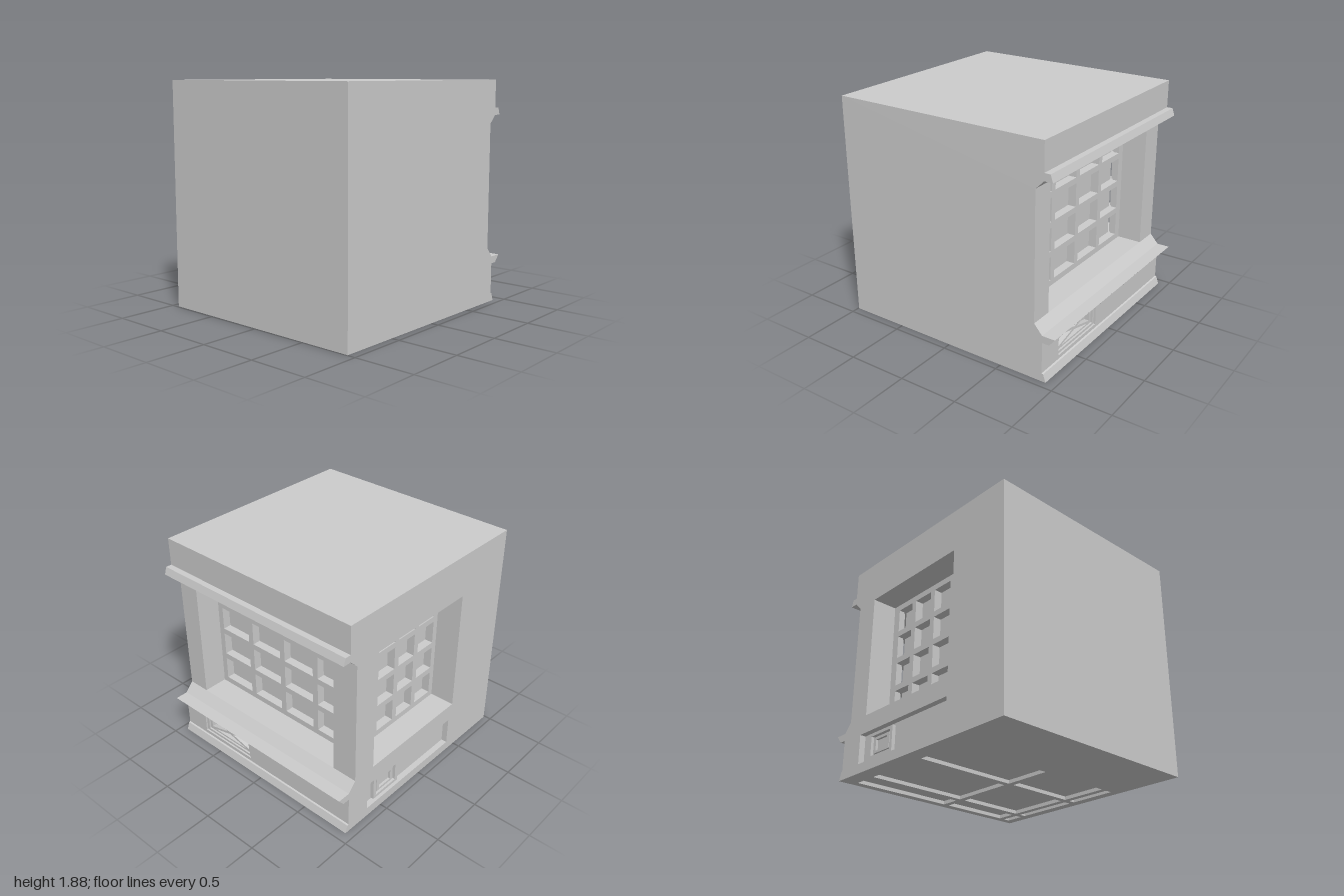
import * as THREE from 'three';

const material = new THREE.MeshStandardMaterial({ color: 0xcccccc, flatShading: true });
const L = -0.935, R = 0.935, FRONT = 0.99; // outer sides
const SILL = 0.47, HEAD = 1.52, TOP = 1.88; // window and roof heights

const rect = (x0, y0, x1, y1) => [[x0, y0], [x1, y0], [x1, y1], [x0, y1]];

// Extrude an outline with holes along +z
function extrude(points, depth, holes = []) {
  const toVectors = pts => pts.map(p => new THREE.Vector2(...p));
  const shape = new THREE.Shape(toVectors(points));
  holes.forEach(h => shape.holes.push(new THREE.Path(toVectors(h))));
  return new THREE.ExtrudeGeometry(shape, { depth, bevelEnabled: false });
}

export function createModel() {
  const group = new THREE.Group();
  group.name = 'shopCorner';
  const body = new THREE.Group();
  body.name = 'building';
  body.rotation.y = -0.005;
  group.add(body);

  function add(name, geometry) {
    const mesh = new THREE.Mesh(geometry, material);
    mesh.name = name;
    body.add(mesh);
  }
  // Outline in (x, y), from z0 to z1
  const alongZ = (name, pts, z0, z1, holes) =>
    add(name, extrude(pts, z1 - z0, holes).translate(0, 0, z0));
  // Outline in (z, y), from x0 to x1
  const alongX = (name, pts, x0, x1, holes) =>
    add(name, extrude(pts, x1 - x0, holes).rotateY(-Math.PI / 2).translate(x1, 0, 0));
  // Outline in (x, z), from y0 to y1
  const alongY = (name, pts, y0, y1, holes) =>
    add(name, extrude(pts, y1 - y0, holes).rotateX(Math.PI / 2).translate(0, y1, 0));

  // Grid of pane holes inside a window rectangle
  function panes(u0, u1, v0, v1, cols, rows, bar) {
    const w = (u1 - u0 - bar * (cols + 1)) / cols;
    const h = (v1 - v0 - bar * (rows + 1)) / rows;
    const holes = [];
    for (let i = 0; i < cols; i++) {
      for (let j = 0; j < rows; j++) {
        const u = u0 + bar + i * (w + bar), v = v0 + bar + j * (h + bar);
        holes.push(rect(u, v, u + w, v + h));
      }
    }
    return holes;
  }

  // Underside with recessed panels
  const floorHoles = [];
  for (const [x0, x1] of [[0.80, 0.86], [0.14, 0.75], [-0.80, 0.09]]) {
    for (const [z0, z1] of [[-0.85, -0.69], [-0.64, -0.09], [-0.04, 0.37]]) {
      floorHoles.push(rect(x0, z0, x1, z1));
    }
  }
  alongY('floorPlate', rect(L, -0.88, R, FRONT), 0, 0.03, floorHoles);

  // Base: core, side skin with a recessed panel, shop facade with a vent opening
  alongX('baseCore', rect(-0.81, 0.03, FRONT, SILL), L + 0.05, R);
  alongX('baseSide', rect(-0.81, 0.03, FRONT, SILL), L, L + 0.05,
    [rect(-0.66, 0.078, 0.40, 0.32)]);
  alongZ('baseFacade', rect(L, 0.03, R, 0.39), -0.88, -0.81, [rect(0.15, 0.10, 0.705, 0.29)]);

  // Facade vent: stepped frame and a plate pierced by four triangles
  alongZ('ventFrame', rect(0.15, 0.10, 0.705, 0.29), -0.865, -0.81,
    [rect(0.175, 0.12, 0.68, 0.27)]);
  const [x0, x1, y0, y1] = [0.2, 0.655, 0.135, 0.255];
  const cx = (x0 + x1) / 2, cy = (y0 + y1) / 2, gx = 0.035, gy = 0.012;
  alongZ('ventCross', rect(0.175, 0.12, 0.68, 0.27), -0.85, -0.81, [
    [[x0, y0 + gy], [cx - gx, cy], [x0, y1 - gy]],
    [[x1, y0 + gy], [x1, y1 - gy], [cx + gx, cy]],
    [[x0 + gx, y0], [x1 - gx, y0], [cx, cy - gy]],
    [[x0 + gx, y1], [cx, cy + gy], [x1 - gx, y1]],
  ]);

  // Side vent: nested square frames
  alongX('sideVentOuter', rect(-0.56, 0.09, -0.26, 0.30), L + 0.02, L + 0.05,
    [rect(-0.53, 0.115, -0.29, 0.275)]);
  alongX('sideVentInner', rect(-0.51, 0.13, -0.31, 0.26), L + 0.03, L + 0.05,
    [rect(-0.48, 0.15, -0.34, 0.24)]);

  // Mouldings running along the shop facade
  alongX('skirting', [[-0.88, 0], [-0.915, 0], [-0.893, 0.065], [-0.88, 0.07]], L, R);
  alongX('ledge', [[-0.88, 0.33], [-0.94, 0.33], [-0.99, 0.39], [-0.88, 0.39]], L, R);
  alongX('sillSlope', [[-0.88, 0.39], [-0.81, SILL], [-0.81, 0.39]], L, R);
  alongX('cornice', [[-0.81, HEAD], [-0.88, 1.59], [-0.95, 1.59], [-0.93, 1.65],
    [-0.88, 1.65], [-0.88, TOP], [-0.81, TOP]], L, R);
  alongX('upperBlock', rect(-0.81, HEAD, FRONT, TOP), L, R);

  // Window storey: walls stepped in behind both windows, and the corner post
  alongY('windowWalls', [[R, FRONT], [L, FRONT], [L, 0.436], [-0.65, 0.436], [-0.65, -0.53],
    [0.745, -0.53], [0.745, -0.81], [R, -0.81]], SILL, HEAD);
  alongY('cornerPost', rect(L, -0.81, -0.72, -0.60), SILL, HEAD);

  // Lattices of the two windows
  alongZ('facadeLattice', rect(-0.72, SILL, 0.745, HEAD), -0.60, -0.53,
    panes(-0.72, 0.745, SILL, HEAD, 4, 4, 0.05));
  alongX('sideLattice', rect(-0.60, SILL, 0.436, HEAD), -0.72, -0.65,
    panes(-0.60, 0.436, SILL, HEAD, 4, 4, 0.05));

  return group;
}
